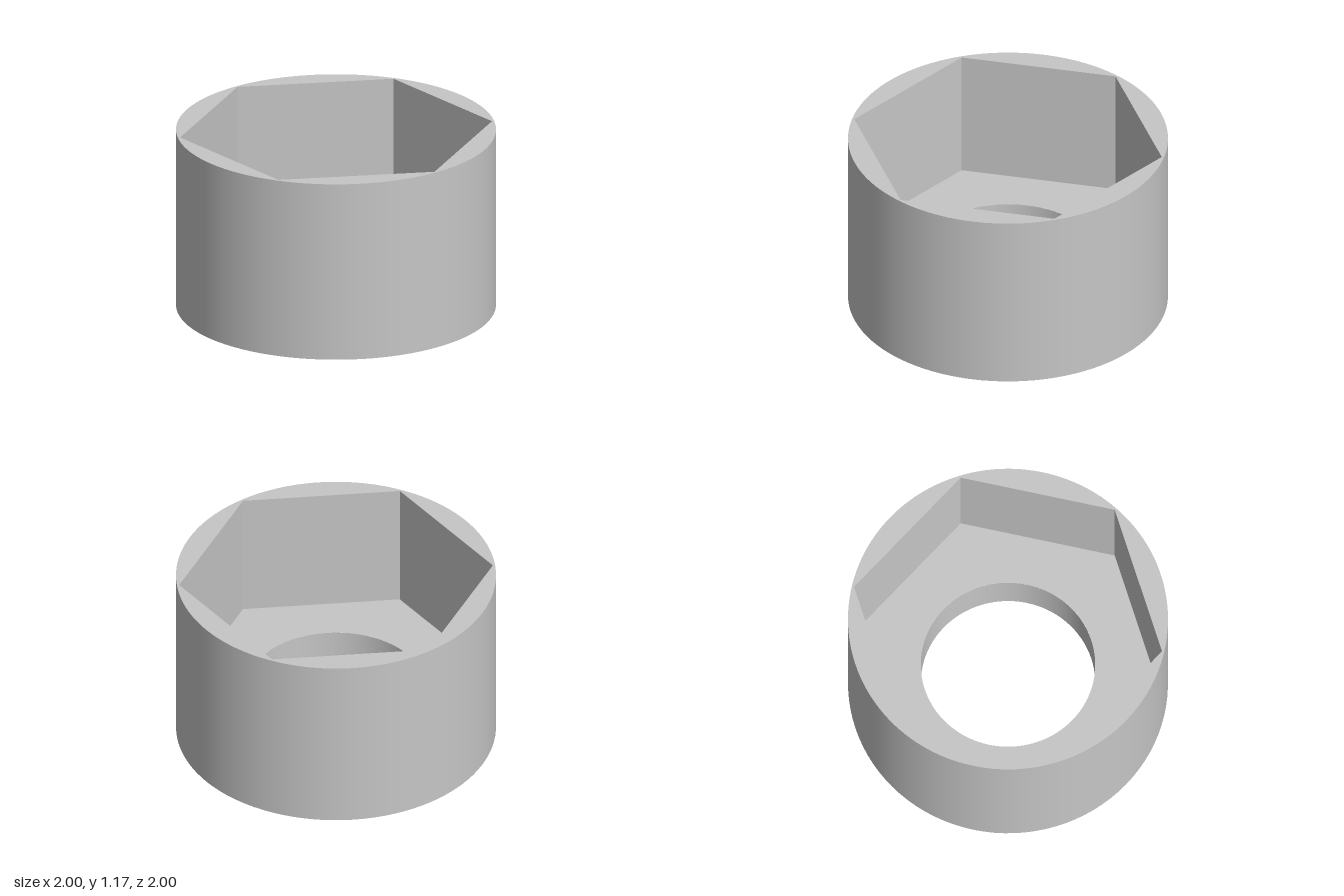
import * as THREE from 'three';

const HEIGHT = 1.167, FLOOR = 0.333;
const OUTER = 1, HEX = 0.986, HOLE = 0.545, SEGMENTS = 96;

export function createModel() {
  const group = new THREE.Group();
  const steel = new THREE.MeshStandardMaterial({ color: 0xc6c6c6 });
  steel.name = 'steel grey';

  const add = (name, geometry) => {
    const mesh = new THREE.Mesh(geometry, steel);
    mesh.name = name;
    group.add(mesh);
  };

  // Revolved surface between two [radius, height] points; rising profiles face outward, falling ones inward
  const revolve = (from, to, sides = SEGMENTS) =>
    new THREE.LatheGeometry([new THREE.Vector2(...from), new THREE.Vector2(...to)], sides, Math.PI / 2);

  // Hexagon with corners on the x axis, and circles
  const hexPoints = Array.from({ length: 6 }, (_, i) => {
    const a = (i * Math.PI) / 3;
    return new THREE.Vector2(HEX * Math.cos(a), HEX * Math.sin(a));
  });
  const circle = (path, r) => path.absarc(0, 0, r, 0, Math.PI * 2, false);

  // Flat upward face with one opening
  const plate = (shape, hole, y) => {
    shape.holes.push(hole);
    return new THREE.ShapeGeometry(shape, SEGMENTS).rotateX(-Math.PI / 2).translate(0, y, 0);
  };

  // Round body
  add('outerWall', revolve([OUTER, 0], [OUTER, HEIGHT]));
  add('underside', revolve([HOLE, 0], [OUTER, 0]));
  add('boreWall', revolve([HOLE, FLOOR], [HOLE, 0]));

  // Hexagonal socket with flat sides
  const socket = revolve([HEX, HEIGHT], [HEX, FLOOR], 6).toNonIndexed();
  socket.computeVertexNormals();
  add('hexSocketWalls', socket);

  // Top rim around the socket, and the floor inside it
  add('topRim', plate(circle(new THREE.Shape(), OUTER), new THREE.Path(hexPoints), HEIGHT));
  add('socketFloor', plate(new THREE.Shape(hexPoints), circle(new THREE.Path(), HOLE), FLOOR));

  return group;
}
